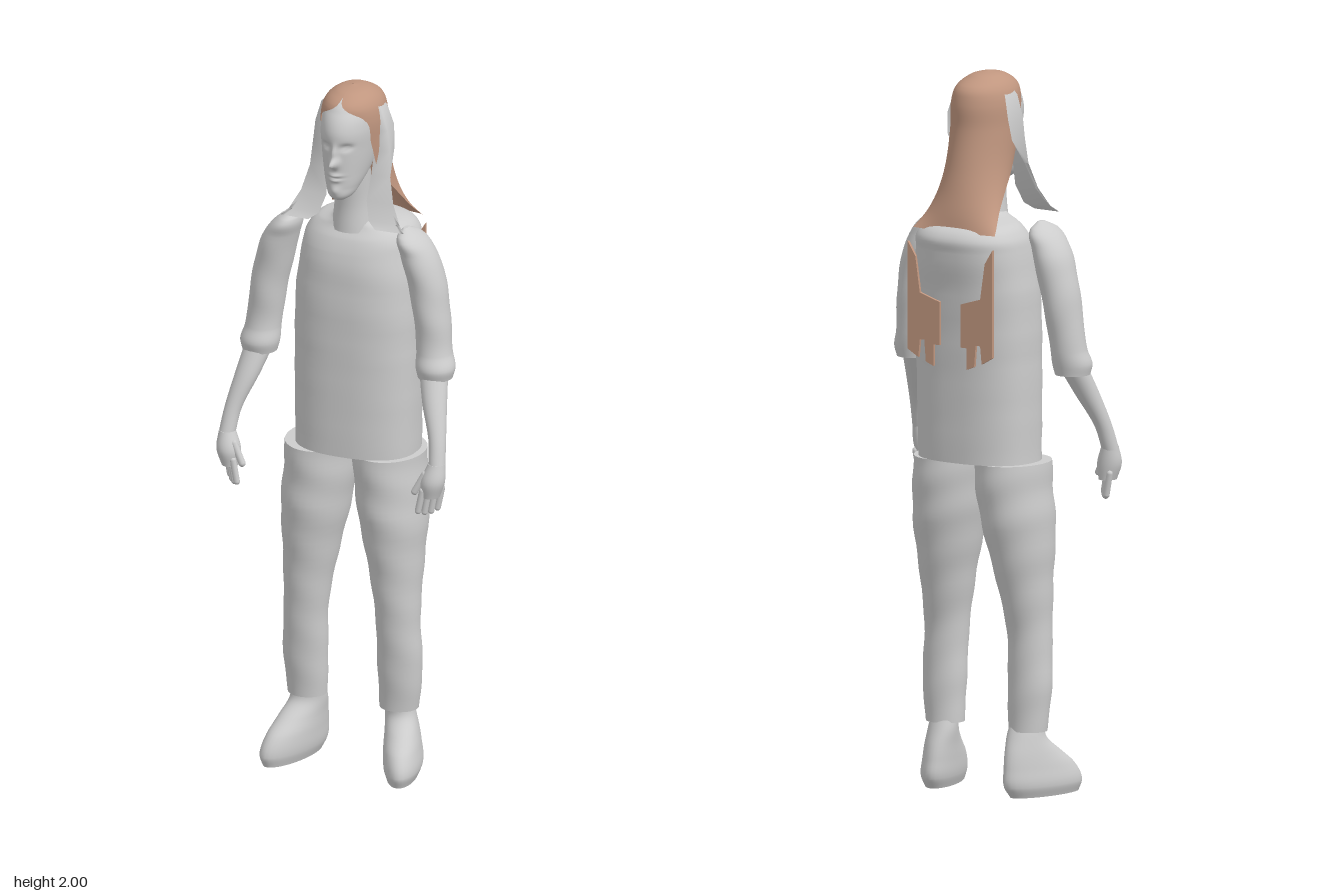
import * as THREE from 'three';

const CX = 0.012; // the body leans very slightly to its left

// Lofts rows of [y, cx, cz, rx, rz, halfArc], ordered upwards, into a smooth skin.
// Angles run from the back (-z); a halfArc below PI leaves the front open.
function loft(rows, { seg = 32, sub = 6, power = 2, wobble = 0, open = false, shear = 0 } = {}) {
  const size = 6;
  const ys = rows.map(r => r[0]);
  const values = rows.flatMap(r => [r[1], r[2], r[3], r[4], r[5] ?? Math.PI, 0]);
  const curve = new THREE.CubicInterpolant(ys, values, size, new Float32Array(size));
  const pos = [], index = [];
  const cols = open ? seg + 1 : seg;
  const n = (rows.length - 1) * sub;
  const curl = v => Math.sign(v) * Math.pow(Math.abs(v), 2 / power);
  for (let j = 0; j <= n; j++) {
    const k = Math.min(Math.floor(j / sub), rows.length - 2);
    const y = ys[k] + (ys[k + 1] - ys[k]) * (j - k * sub) / sub;
    const [cx, cz, rx, rz, arc] = curve.evaluate(y);
    for (let i = 0; i < cols; i++) {
      const a = (i / seg * 2 - 1) * arc;
      const w = 1 + wobble * Math.sin(y * 52 + 2 * Math.sin(a));
      const z = cz - rz * w * curl(Math.cos(a));
      pos.push(cx + rx * w * curl(Math.sin(a)) + shear * (z - cz), y, z);
    }
  }
  for (let j = 0; j < n; j++) {
    for (let i = 0; i < seg; i++) {
      const a = j * cols + i, b = j * cols + (i + 1) % cols;
      index.push(a, a + cols, b, b, a + cols, b + cols);
    }
  }
  // flat end caps with their own vertices
  if (!open) {
    for (const j of [0, n]) {
      const base = pos.length / 3, r = rows[j ? rows.length - 1 : 0];
      for (let i = 0; i < cols * 3; i++) pos.push(pos[j * cols * 3 + i]);
      pos.push(r[1], r[0], r[2]);
      for (let i = 0; i < cols; i++) {
        const a = base + i, b = base + (i + 1) % cols, c = base + cols;
        if (j) index.push(a, c, b); else index.push(a, b, c);
      }
    }
  }
  return surface(pos, index);
}

function surface(pos, index) {
  const g = new THREE.BufferGeometry();
  g.setAttribute('position', new THREE.Float32BufferAttribute(pos, 3));
  g.setIndex(index);
  g.computeVertexNormals();
  return g;
}

// Pushes face features out of the front of the head: [x, y, spreadX, spreadY, depth]
function sculptFace(g) {
  const features = [
    [0, 1.812, 0.011, 0.013, 0.034], [0, 1.84, 0.008, 0.02, 0.014], // nose tip, bridge
    [0.03, 1.857, 0.014, 0.009, -0.013], [-0.03, 1.857, 0.014, 0.009, -0.013], // sockets
    [0.03, 1.856, 0.007, 0.004, 0.006], [-0.03, 1.856, 0.007, 0.004, 0.006], // eyes
    [0, 1.774, 0.018, 0.005, 0.008], [0, 1.76, 0.016, 0.005, 0.007], // lips
    [0, 1.767, 0.022, 0.002, -0.005], [0, 1.73, 0.016, 0.012, 0.007], // mouth, chin
  ];
  const p = g.attributes.position;
  for (let i = 0; i < p.count; i++) {
    if (p.getZ(i) < 0.07) continue;
    let dz = 0;
    for (const [x, y, sx, sy, d] of features) {
      dz += d * Math.exp(-(((p.getX(i) - CX - x) / sx) ** 2) - ((p.getY(i) - y) / sy) ** 2);
    }
    p.setZ(i, p.getZ(i) + dz);
  }
  g.computeVertexNormals();
  return g;
}

// Rounded rod between two points
function rod(from, to, r) {
  const a = new THREE.Vector3(...from), d = new THREE.Vector3(...to).sub(a);
  const g = new THREE.CapsuleGeometry(r, d.length(), 4, 10);
  g.applyQuaternion(new THREE.Quaternion().setFromUnitVectors(new THREE.Vector3(0, 1, 0), d.clone().normalize()));
  const m = a.addScaledVector(d, 0.5);
  return g.translate(m.x, m.y, m.z);
}

export function createModel() {
  const grey = new THREE.MeshStandardMaterial({ color: 0xcccccc, side: THREE.DoubleSide });
  grey.name = 'plain grey';
  const brown = new THREE.MeshStandardMaterial({ color: 0xc0967f, side: THREE.DoubleSide });
  brown.name = 'hair brown';
  const model = new THREE.Group();
  model.name = 'standingFigure';
  const add = (name, geometry, material = grey) => {
    const mesh = new THREE.Mesh(geometry, material);
    mesh.name = name;
    model.add(mesh);
  };

  // Shirt body, neck and head
  add('shirt', loft([
    [0.93, CX, -0.018, 0.175, 0.128], [1.2, CX, -0.022, 0.178, 0.132], [1.4, CX, -0.03, 0.175, 0.138],
    [1.52, CX, -0.045, 0.16, 0.14], [1.56, CX, -0.053, 0.15, 0.133], [1.59, CX, -0.045, 0.12, 0.105],
    [1.605, CX, -0.02, 0.075, 0.078], [1.615, CX, 0, 0.055, 0.06],
  ], { seg: 48, power: 2.4, wobble: 0.006 }));
  add('neck', loft([[1.58, CX, 0.01, 0.062, 0.066], [1.66, CX, 0.015, 0.052, 0.058], [1.76, CX, 0.03, 0.05, 0.06]]));
  add('head', sculptFace(loft([
    [1.695, CX, 0.1, 0.016, 0.025], [1.705, CX, 0.098, 0.03, 0.043], [1.735, CX, 0.08, 0.047, 0.064],
    [1.78, CX, 0.05, 0.062, 0.096], [1.84, CX, 0.035, 0.072, 0.113], [1.9, CX, 0.032, 0.075, 0.118],
    [1.945, CX, 0.026, 0.067, 0.1], [1.975, CX, 0.022, 0.046, 0.065], [1.988, CX, 0.02, 0.01, 0.015],
  ], { seg: 96, sub: 12 })));

  // Long hair falling onto the shoulders, open around the face
  add('longHair', loft([
    [1.575, CX, -0.145, 0.135, 0.012, 1.57], [1.62, CX, -0.095, 0.116, 0.055, 1.5],
    [1.68, CX, -0.05, 0.1, 0.086, 1.65], [1.75, CX, -0.02, 0.09, 0.1, 2.0],
    [1.85, CX, 0.005, 0.088, 0.108, 2.15], [1.93, CX, 0.012, 0.086, 0.112, 2.35],
    [1.965, CX, 0.016, 0.073, 0.1, 3.0], [1.985, CX, 0.02, 0.052, 0.068, Math.PI],
    [1.995, CX, 0.02, 0.03, 0.04, Math.PI], [2, CX, 0.02, 0.002, 0.002, Math.PI],
  ], { seg: 48, open: true }), brown);

  // Side locks: [y, outer x, inner x, front z, back z]
  const lockRows = [
    [1.985, 0.045, 0.03, 0.035, 0.02], [1.94, 0.09, 0.068, 0.035, -0.02], [1.88, 0.108, 0.075, 0.035, -0.03],
    [1.82, 0.115, 0.07, 0.035, -0.02], [1.75, 0.12, 0.065, 0.045, 0.035], [1.68, 0.138, 0.06, 0.065, 0.06],
    [1.63, 0.165, 0.075, 0.085, 0.083], [1.613, 0.185, 0.1, 0.1, 0.098],
  ];
  // Strands lying on the back, as an outline of (x, y)
  const strand = [[0.14, 1.54], [0.115, 1.5], [0.1, 1.4], [0.035, 1.38], [0.035, 1.26], [0.055, 1.26],
    [0.055, 1.2], [0.08, 1.21], [0.085, 1.27], [0.1, 1.27], [0.105, 1.22], [0.14, 1.24]];

  for (const s of [1, -1]) {
    const side = s > 0 ? 'left' : 'right';
    const pos = [], index = [];
    lockRows.forEach(([y, xo, xi, zf, zb], j) => {
      pos.push(CX + s * xi, y, zf, CX + s * xo, y, zf - 0.004, CX + s * xo * 0.93, y, zb);
      if (j) {
        for (const k of [0, 1]) {
          const a = j * 3 - 3 + k, b = a + 1, c = a + 3, d = a + 4;
          index.push(...(s > 0 ? [a, c, b, b, c, d] : [a, b, c, b, d, c]));
        }
      }
    });
    add(side + 'SideLock', surface(pos, index));

    const outline = new THREE.Shape(strand.map(([x, y]) => new THREE.Vector2(CX / 2 + s * x, y)));
    add(side + 'BackStrand', new THREE.ExtrudeGeometry(outline, { depth: 0.008, bevelEnabled: false })
      .translate(0, 0, -0.174), brown);

    // Sleeve, forearm and hand
    add(side + 'Sleeve', loft([
      [1.18, s * 0.262, 0.03, 0.048, 0.05], [1.21, s * 0.262, 0.03, 0.055, 0.056], [1.25, s * 0.256, 0.02, 0.05, 0.052],
      [1.35, s * 0.245, 0.012, 0.05, 0.058], [1.45, s * 0.227, 0.008, 0.052, 0.062], [1.53, s * 0.203, 0.01, 0.047, 0.064],
      [1.58, s * 0.178, 0.015, 0.03, 0.052], [1.6, s * 0.168, 0.015, 0.006, 0.012],
    ], { wobble: 0.015 }));
    add(side + 'Forearm', loft([
      [0.96, s * 0.314, 0.138, 0.023, 0.025], [1.03, s * 0.305, 0.115, 0.024, 0.026],
      [1.12, s * 0.28, 0.075, 0.034, 0.035], [1.2, s * 0.26, 0.035, 0.04, 0.04],
    ], { seg: 24 }));
    add(side + 'Palm', loft([
      [0.875, s * 0.3, 0.145, 0.024, 0.028], [0.92, s * 0.305, 0.146, 0.034, 0.034], [0.97, s * 0.313, 0.137, 0.023, 0.025],
    ], { seg: 24 }));
    for (let f = 0; f < 4; f++) {
      const x = 0.322 - f * 0.013, z = 0.122 + f * 0.015;
      add(side + 'Finger', rod([s * x, 0.895, z], [s * (x - 0.012), 0.826 + Math.abs(f - 1.5) * 0.006, z + 0.002], 0.009));
    }
    add(side + 'Thumb', rod([s * 0.285, 0.94, 0.155], [s * 0.258, 0.888, 0.162], 0.01));

    // Trouser leg and shoe
    const L = 0.007;
    add(side + 'TrouserLeg', loft([
      [0.18, L + s * 0.137, 0.005, 0.055, 0.05], [0.3, L + s * 0.141, 0.01, 0.063, 0.056],
      [0.45, L + s * 0.137, 0.015, 0.062, 0.063], [0.6, L + s * 0.127, 0.005, 0.076, 0.086],
      [0.75, L + s * 0.115, -0.005, 0.095, 0.114], [0.85, L + s * 0.105, -0.012, 0.099, 0.121],
      [0.93, L + s * 0.1, -0.013, 0.1, 0.122],
    ], { wobble: 0.015 }));
    add(side + 'Shoe', loft([
      [0, L + s * 0.165, 0.045, 0.044, 0.112], [0.03, L + s * 0.164, 0.04, 0.055, 0.126],
      [0.08, L + s * 0.157, 0.03, 0.054, 0.112], [0.12, L + s * 0.148, 0.012, 0.05, 0.084],
      [0.16, L + s * 0.138, -0.002, 0.046, 0.053], [0.2, L + s * 0.135, 0.004, 0.042, 0.04],
    ], { shear: s * 0.25 }));
  }
  return model;
}
